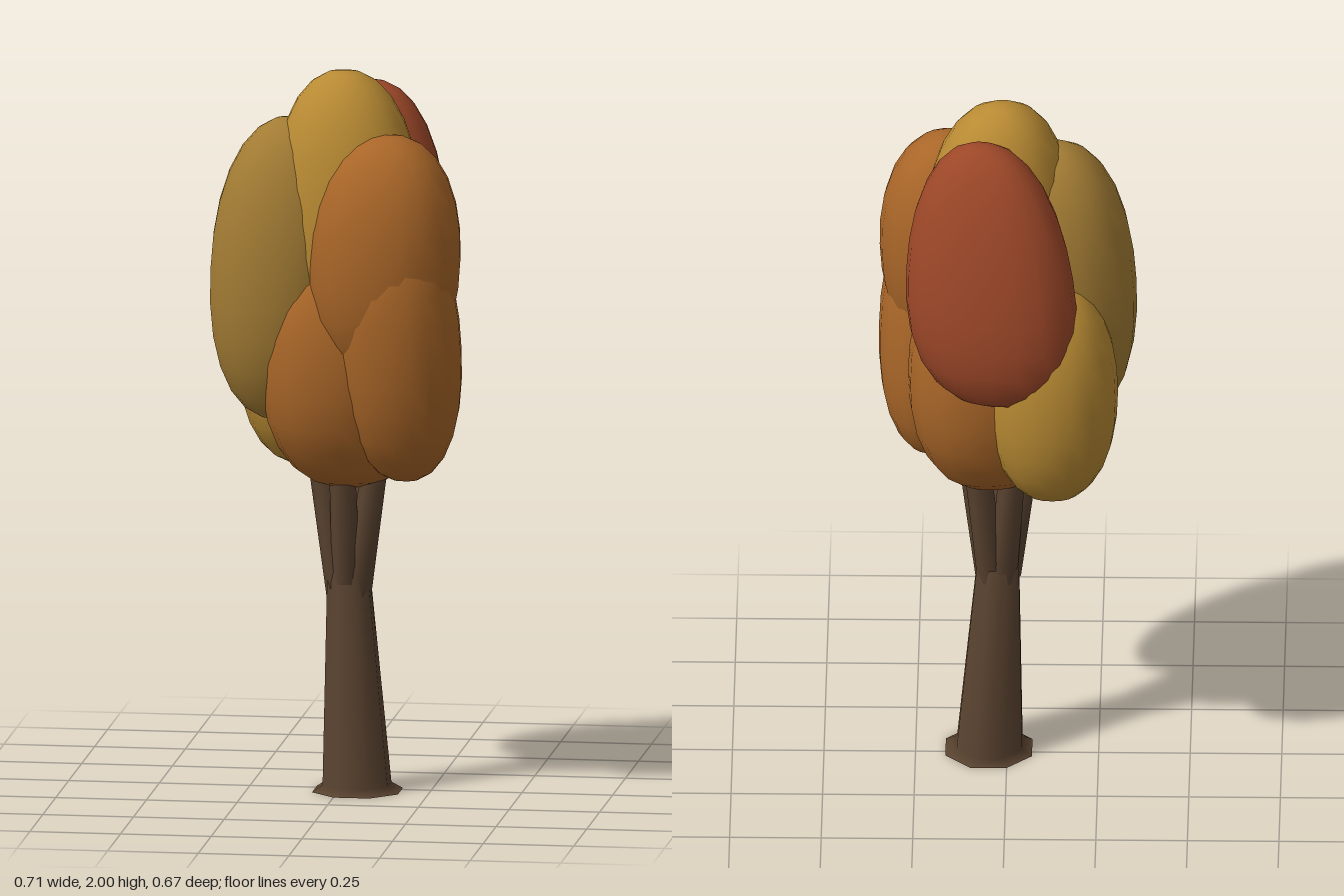
import * as THREE from 'three';
import { mergeVertices } from 'three/addons/utils/BufferGeometryUtils.js';

const paint = (color) => new THREE.MeshStandardMaterial({ color, roughness: 0.9 });
const bark = paint(0x5a4330);
const gold = paint(0xb88a33);
const olive = paint(0xa37c34);
const orange = paint(0xa96628);
const red = paint(0x9c4728);

// Leaf clump: a fullness above 2 swells the ellipsoid towards a box, taper narrows
// it upwards; it leans in x and z as it rises, and skews in plan
function clump(name, material, [x, y, z], [rx, ry, rz], { fullness = 2.2, taper = 0, lean = [0, 0], skew = 0 }) {
  const sphere = new THREE.SphereGeometry(1, 20, 14);
  sphere.deleteAttribute('uv');
  sphere.deleteAttribute('normal');
  const geometry = mergeVertices(sphere);
  const position = geometry.attributes.position;
  const v = new THREE.Vector3();
  for (let i = 0; i < position.count; i++) {
    v.fromBufferAttribute(position, i);
    const sum = v.toArray().reduce((total, c) => total + Math.abs(c) ** fullness, 0);
    v.multiplyScalar(sum ** (-1 / fullness));
    const width = 1 - taper * v.y;
    position.setXYZ(i, v.x * width, v.y, v.z * width);
  }
  geometry.applyMatrix4(new THREE.Matrix4().set(
    rx, lean[0], 0, x,
    0, ry, 0, y,
    skew, lean[1], rz, z,
    0, 0, 0, 1));
  geometry.computeVertexNormals();
  const mesh = new THREE.Mesh(geometry, material);
  mesh.name = name;
  return mesh;
}

// Closed tapering limb lofted through rings of [x, y, z, radius]
function limb(name, rings, sides) {
  const positions = [];
  const index = [];
  const addRing = ([x, y, z, r]) => {
    for (let s = 0; s < sides; s++) {
      const a = ((s + 0.5) / sides) * Math.PI * 2;
      positions.push(x + r * Math.sin(a), y, z + r * Math.cos(a));
    }
  };
  rings.forEach((ring, i) => {
    addRing(ring);
    for (let s = 0; s < sides && i > 0; s++) {
      const n = (s + 1) % sides;
      const low = (i - 1) * sides;
      const high = i * sides;
      index.push(low + s, low + n, high + n, low + s, high + n, high + s);
    }
  });
  // End caps with their own vertices, so the rims stay sharp
  [[rings[0], false], [rings[rings.length - 1], true]].forEach(([ring, up]) => {
    const c = positions.length / 3;
    positions.push(ring[0], ring[1], ring[2]);
    addRing(ring);
    for (let s = 0; s < sides; s++) {
      const p = c + 1 + s;
      const q = c + 1 + ((s + 1) % sides);
      index.push(c, up ? p : q, up ? q : p);
    }
  });
  const geometry = new THREE.BufferGeometry();
  geometry.setAttribute('position', new THREE.Float32BufferAttribute(positions, 3));
  geometry.setIndex(index);
  geometry.computeVertexNormals();
  const mesh = new THREE.Mesh(geometry, bark);
  mesh.name = name;
  return mesh;
}

export function createModel() {
  const tree = new THREE.Group();
  tree.name = 'tree';

  // Trunk with a small flared foot
  tree.add(limb('trunk', [
    [0.05, 0, 0.025, 0.128],
    [0.048, 0.018, 0.02, 0.097],
    [0.025, 0.58, 0.013, 0.062],
    [0.025, 0.66, 0.013, 0.05],
  ], 8));

  // Branches fanning out into the leaves
  const branches = new THREE.Group();
  branches.name = 'branches';
  [[0.1, 0.045], [0.08, -0.045], [-0.015, -0.05], [-0.05, 0.02], [0.015, 0.075]].forEach(([x, z]) => {
    const nearX = 0.025 + (x - 0.025) * 0.3;
    const nearZ = 0.013 + (z - 0.013) * 0.3;
    branches.add(limb('branch', [
      [nearX, 0.54, nearZ, 0.04],
      [x, 0.9, z, 0.036],
      [x * 1.3, 1.05, z * 1.3, 0.022],
    ], 6));
  });
  tree.add(branches);

  // Crown
  const crown = new THREE.Group();
  crown.name = 'crown';
  crown.add(
    clump('topLeaves', gold, [0.027, 1.6, 0.04], [0.203, 0.4, 0.182], { lean: [-0.015, -0.02] }),
    clump('rightLeaves', olive, [-0.152, 1.45, 0.035], [0.201, 0.42, 0.185], { lean: [0.02, 0] }),
    clump('backLeaves', red, [0.045, 1.575, -0.163], [0.228, 0.375, 0.152],
      { fullness: 2.3, taper: 0.17, lean: [0.02, 0.045], skew: 0.03 }),
    clump('upperFrontLeaves', orange, [0.142, 1.5, 0.14], [0.208, 0.345, 0.185], { lean: [0.01, 0] }),
    clump('lowerFrontLeaves', orange, [0.185, 1.25, 0.148], [0.167, 0.37, 0.172],
      { fullness: 2.3, lean: [-0.01, 0.04] }),
    clump('lowerMiddleLeaves', orange, [0.03, 1.195, 0.01], [0.24, 0.352, 0.248],
      { fullness: 2.3, skew: -0.035 }),
    clump('lowerBackLeaves', gold, [-0.125, 1.2, -0.142], [0.18, 0.325, 0.183], {}),
  );
  tree.add(crown);
  return tree;
}
